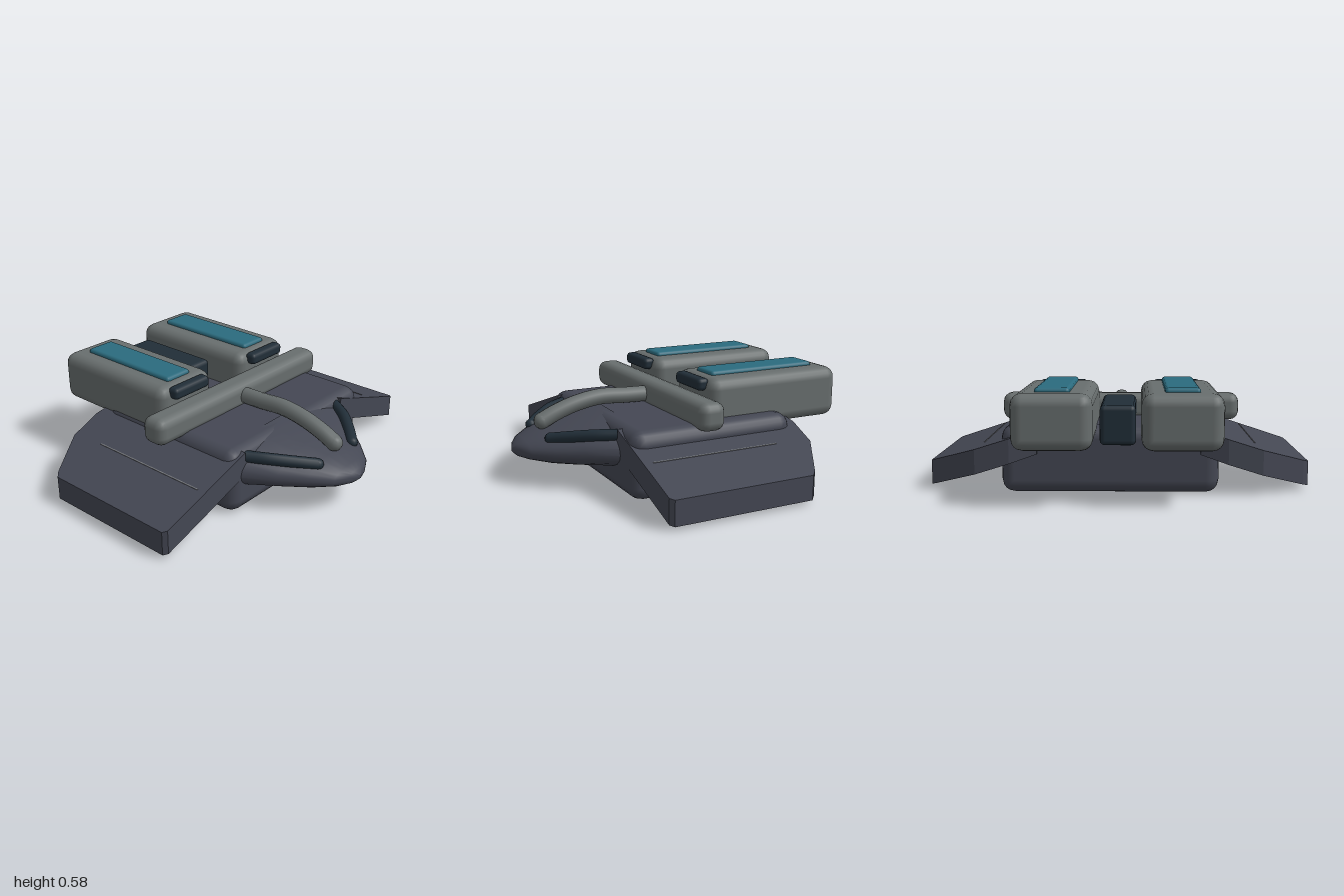
import * as THREE from 'three';
import { RoundedBoxGeometry } from 'three/addons/geometries/RoundedBoxGeometry.js';
import { toCreasedNormals } from 'three/addons/utils/BufferGeometryUtils.js';

const material = (name, color) => Object.assign(new THREE.MeshStandardMaterial({ color }), { name });

export function createModel() {
  const group = new THREE.Group();
  const slate = material('slate hull', 0x444753);
  const grey = material('engine grey', 0x686e6e);
  const teal = material('teal panel', 0x2b6b7e);
  const dark = material('dark trim', 0x212e38);
  const lineGrey = material('seam grey', 0x74777c);

  const add = (name, geometry, mat) => {
    const mesh = new THREE.Mesh(geometry, mat);
    mesh.name = name;
    group.add(mesh);
    return mesh;
  };
  // Rounded block given by its limits on each axis
  const block = (name, [x0, x1], [y0, y1], [z0, z1], radius, mat, segments = 2) => {
    const geo = new RoundedBoxGeometry(x1 - x0, y1 - y0, z1 - z0, segments, radius);
    add(name, geo, mat).position.set((x0 + x1) / 2, (y0 + y1) / 2, (z0 + z1) / 2);
  };
  const v = (x, y, z) => new THREE.Vector3(x, y, z);
  // Tube with rounded ends
  const rod = (name, points, radius, mat) => {
    const curve = new THREE.CatmullRomCurve3(points);
    add(name, new THREE.TubeGeometry(curve, 24, radius, 12), mat);
    for (const p of [points[0], points[points.length - 1]]) {
      add(name + 'End', new THREE.SphereGeometry(radius, 12, 8), mat).position.copy(p);
    }
  };

  // Hull, set slightly to the left
  block('hull', [-0.52, 0.61], [0, 0.355], [-0.5, 0.44], 0.07, slate);

  // Nose, lofted from flattened oval sections: z, half width, top, middle, bottom
  const sections = [
    [0.34, 0.49, 0.362, 0.21, 0.09],
    [0.44, 0.455, 0.345, 0.21, 0.093],
    [0.58, 0.345, 0.305, 0.2, 0.1],
    [0.7, 0.245, 0.272, 0.19, 0.112],
    [0.8, 0.15, 0.235, 0.18, 0.135],
    [0.84, 0.075, 0.215, 0.18, 0.147],
    [0.86, 0.015, 0.19, 0.178, 0.166],
  ];
  const sides = 28;
  const pos = [], index = [];
  for (const [z, w, top, mid, bottom] of sections) {
    for (let j = 0; j < sides; j++) {
      const a = (j / sides) * Math.PI * 2, s = Math.sin(a), c = Math.cos(a);
      const y = mid + (s > 0 ? top - mid : mid - bottom) * Math.sign(s) * Math.abs(s) ** 0.9;
      pos.push(w * Math.sign(c) * Math.abs(c) ** 0.85, y, z);
    }
  }
  for (let i = 0; i < sections.length - 1; i++) {
    for (let j = 0; j < sides; j++) {
      const a = i * sides + j, b = i * sides + (j + 1) % sides;
      index.push(a, b, b + sides, a, b + sides, a + sides);
    }
  }
  const last = (sections.length - 1) * sides;
  for (let j = 1; j < sides - 1; j++) index.push(last, last + j, last + j + 1);
  const nose = new THREE.BufferGeometry();
  nose.setAttribute('position', new THREE.Float32BufferAttribute(pos, 3));
  nose.setIndex(index);
  add('nose', toCreasedNormals(nose, 0.6), slate);

  // Height of the drooping wing's lower face at a given x
  const slope = 0.327;
  const droop = x => 0.02 + (1 - Math.abs(x)) * slope;

  for (const side of [-1, 1]) {
    const label = side > 0 ? 'left' : 'right';

    // Wing: plan outline extruded upwards, then sheared down towards the tip
    const plan = [[0.42, 0.44], [0.98, 0.44], [1, 0.42], [1, -0.35], [0.97, -0.38],
      [0.74, -0.52], [0.56, -0.54], [0.42, -0.51]];
    const shape = new THREE.Shape(plan.map(([x, z]) => new THREE.Vector2(side * x, -z)));
    const wing = new THREE.ExtrudeGeometry(shape, { depth: 0.13, bevelEnabled: false });
    wing.rotateX(-Math.PI / 2);
    const p = wing.attributes.position;
    for (let i = 0; i < p.count; i++) p.setY(i, p.getY(i) + droop(p.getX(i)));
    wing.computeVertexNormals();
    add(label + 'Wing', wing, slate);

    // Thin seam along the wing
    const seam = add(label + 'WingSeam', new THREE.BoxGeometry(0.007, 0.004, 0.71), lineGrey);
    seam.position.set(side * 0.72, droop(0.72) + 0.131, 0.035);
    seam.rotation.z = -side * Math.atan(slope);

    // Engine with top panel and front intake
    const span = (a, b) => (side > 0 ? [a, b] : [-b, -a]);
    block(label + 'Engine', span(0.115, 0.51), [0.28, 0.557], [-0.865, -0.055], 0.06, grey);
    block(label + 'EnginePanel', span(0.228, 0.4), [0.53, 0.578], [-0.765, -0.12], 0.018, teal);
    block(label + 'Intake', span(0.185, 0.445), [0.49, 0.555], [-0.08, 0.022 - 0.035], 0.022, dark);

    // Curved trim strip over the nose
    rod(label + 'NoseTrim', [v(side * 0.395, 0.302, 0.42), v(side * 0.33, 0.296, 0.52),
      v(side * 0.24, 0.278, 0.62), v(side * 0.155, 0.258, 0.7)], 0.031, dark);
  }

  // Dark block between the engines
  block('centreBlock', [-0.09, 0.085], [0.3, 0.495], [-0.78, -0.265], 0.025, dark);

  // Crossbar and the spine running forward from it
  block('crossbar', [-0.665, 0.662], [0.325, 0.475], [-0.06, 0.088], 0.05, grey);
  rod('spine', [v(0, 0.4, 0.04), v(0, 0.404, 0.2), v(0, 0.411, 0.36),
    v(0, 0.388, 0.5), v(0, 0.348, 0.62), v(0, 0.315, 0.69)], 0.045, grey);

  return group;
}
